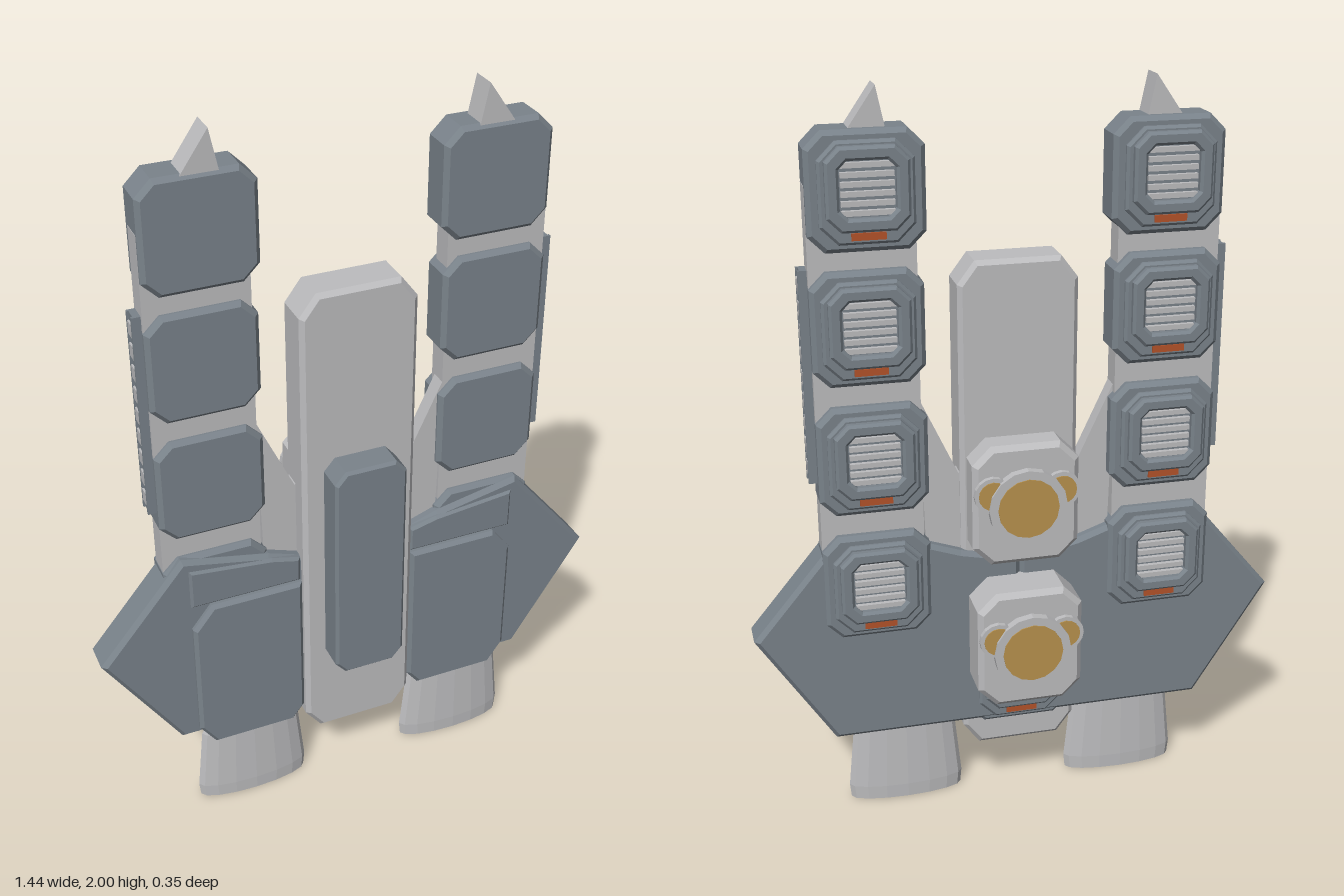
import * as THREE from 'three';

const mat = (name, color, extra = {}) => {
  const m = new THREE.MeshStandardMaterial({ color, flatShading: true, ...extra });
  m.name = name;
  return m;
};

export function createModel() {
  const root = new THREE.Group();
  root.name = 'spacecraft';
  const slate = mat('slateHull', 0x7a838b);
  const light = mat('lightHull', 0xbdbdbf);
  const lightOpen = mat('lightNozzle', 0xbdbdbf, { side: THREE.DoubleSide });
  const gold = mat('goldLens', 0xb8924e);
  const orange = mat('orangeMarker', 0xb4532a);

  const add = (parent, name, geo, m, x = 0, y = 0, z = 0) => {
    const mesh = new THREE.Mesh(geo, m);
    mesh.name = name;
    mesh.position.set(x, y, z);
    parent.add(mesh);
    return mesh;
  };
  const group = (parent, name, x = 0, y = 0, z = 0) => {
    const g = new THREE.Group();
    g.name = name;
    g.position.set(x, y, z);
    parent.add(g);
    return g;
  };
  // Outline extruded from z0 to z1 with a single chamfer kept inside the outline
  const prism = (pts, z0, z1, bevel = 0, hole = null) => {
    const shape = new THREE.Shape(pts.map(p => new THREE.Vector2(...p)));
    if (hole) shape.holes.push(new THREE.Path(hole.map(p => new THREE.Vector2(...p))));
    const geo = new THREE.ExtrudeGeometry(shape, {
      depth: z1 - z0 - 2 * bevel, bevelEnabled: bevel > 0, bevelThickness: bevel,
      bevelSize: bevel, bevelOffset: -bevel, bevelSegments: 1,
    });
    return geo.translate(0, 0, z0 + bevel);
  };
  // Rectangle with cut corners
  const octagon = (w, h, cx, cy = cx) => {
    const a = w / 2, b = h / 2;
    return [[-a + cx, -b], [a - cx, -b], [a, -b + cy], [a, b - cy],
      [a - cx, b], [-a + cx, b], [-a, b - cy], [-a, -b + cy]];
  };
  const mirror = (pts, s) => pts.map(([x, y]) => [x * s, y]);

  // Central spine and the keel block on its front
  add(root, 'spine', prism(octagon(0.315, 1.395, 0.045, 0.06), -0.02, 0.096, 0.012), light, 0, 0.8625);
  add(root, 'keelBlock', prism(octagon(0.2, 0.665, 0.03, 0.035), 0.08, 0.175, 0.008), slate, 0, 0.7525);

  // Armoured cell with a recessed grille facing backwards
  const cell = (parent, name, x, y, z = 0, w = 0.285) => {
    const g = group(parent, name, x, y, z);
    add(g, 'cellBody', prism(octagon(w, 0.295, 0.042), -0.045, 0.057, 0.012), slate);
    add(g, 'cellStep', prism(octagon(0.235, 0.25, 0.045), -0.06, -0.04, 0.007), slate);
    add(g, 'cellFrame', prism(octagon(0.205, 0.205, 0.035), -0.082, -0.055, 0.007,
      octagon(0.138, 0.138, 0.02)), slate, 0, 0.012);
    for (let i = 0; i < 6; i++) {
      add(g, 'grilleSlat', new THREE.BoxGeometry(0.13, 0.013, 0.012), light, 0, 0.012 + (i - 2.5) * 0.023, -0.066);
    }
    add(g, 'marker', new THREE.BoxGeometry(0.085, 0.018, 0.008), orange, 0, -0.104, -0.061);
  };

  for (const s of [1, -1]) {
    const side = group(root, s > 0 ? 'leftSide' : 'rightSide');

    // Tower core, cells and spike
    add(side, 'towerCore', new THREE.BoxGeometry(0.27, 1.1, 0.06), light, s * 0.393, 1.22, 0.01);
    [1.755, 1.4125, 1.0625, 0.7075].forEach((y, i) =>
      cell(side, 'towerCell', s * (i ? 0.387 : 0.381), y, 0, i ? 0.285 : 0.292));
    add(side, 'towerSpike', prism(mirror([[0.425, 1.89], [0.325, 1.89], [0.348, 2.0]], s), -0.02, 0.05), light);

    // Side rail with rungs
    const rail = group(side, 'sideRail', s * 0.538, 1.2825, 0.012);
    add(rail, 'railBase', new THREE.BoxGeometry(0.018, 0.56, 0.046), slate);
    for (const z of [-0.019, 0.019]) {
      add(rail, 'railEdge', new THREE.BoxGeometry(0.008, 0.56, 0.008), slate, s * 0.01, 0, z);
    }
    for (let i = 0; i < 9; i++) {
      add(rail, 'railRung', new THREE.BoxGeometry(0.008, 0.035, 0.03), light, s * 0.01, (i - 4) * 0.06, 0);
    }

    // Strut between tower and spine
    add(side, 'strut', prism(mirror([[0.25, 0.76], [0.14, 0.76], [0.14, 1.02], [0.16, 0.99], [0.262, 1.21]], s),
      -0.005, 0.04), light);

    // Wing and its front armour plate
    add(side, 'wing', prism(mirror([[0, 0.25], [0.515, 0.25], [0.72, 0.572], [0.485, 0.855],
      [0.245, 0.805], [0.16, 0.775], [0, 0.74]], s), -0.035, 0.07, 0.012), slate);
    add(side, 'wingPlate', prism(mirror([[0.195, 0.215], [0.425, 0.215], [0.47, 0.28], [0.47, 0.63],
      [0.415, 0.7], [0.16, 0.7], [0.16, 0.26]], s), 0.05, 0.089, 0.01), slate);
    add(side, 'upperWingPlate', prism(mirror([[0.16, 0.7], [0.47, 0.7], [0.47, 0.82],
      [0.24, 0.795], [0.16, 0.775]], s), 0.05, 0.077, 0.008), slate);

    // Flattened hollow engine nozzle
    const profile = [[0.0, 0.15], [0.105, 0.14], [0.145, 0.0], [0.158, 0.0], [0.162, 0.04], [0.143, 0.23], [0.0, 0.23]]
      .map(p => new THREE.Vector2(...p));
    add(side, 'nozzle', new THREE.LatheGeometry(profile, 16), lightOpen, s * 0.315, 0, 0.053).scale.z = 0.24;
  }

  // Lower centre cell
  cell(root, 'lowerCell', 0, 0.385, 0.015);

  // Rear sensor boxes with three lenses each
  const lens = (parent, name, r, x, y, depth) => {
    const g = group(parent, name, x, y, 0);
    const rim = new THREE.CylinderGeometry(r, r, depth, 16).rotateX(Math.PI / 2);
    add(g, 'lensRim', rim, light, 0, 0, -depth / 2);
    const disc = new THREE.CylinderGeometry(r * 0.78, r * 0.78, 0.004, 16).rotateX(Math.PI / 2);
    add(g, 'lensGlass', disc, gold, 0, 0, -depth - 0.001);
  };
  for (const [y, back] of [[0.923, -0.102], [0.525, -0.152]]) {
    const box = group(root, 'sensorBox', 0, y, back);
    add(box, 'sensorHousing', prism(octagon(0.285, 0.335, 0.05), 0, -back - 0.01, 0.014), light);
    lens(box, 'mainLens', 0.105, 0, 0, 0.024);
    for (const s of [1, -1]) lens(box, 'sideLens', 0.05, s * 0.092, 0.04, 0.014);
  }
  return root;
}
